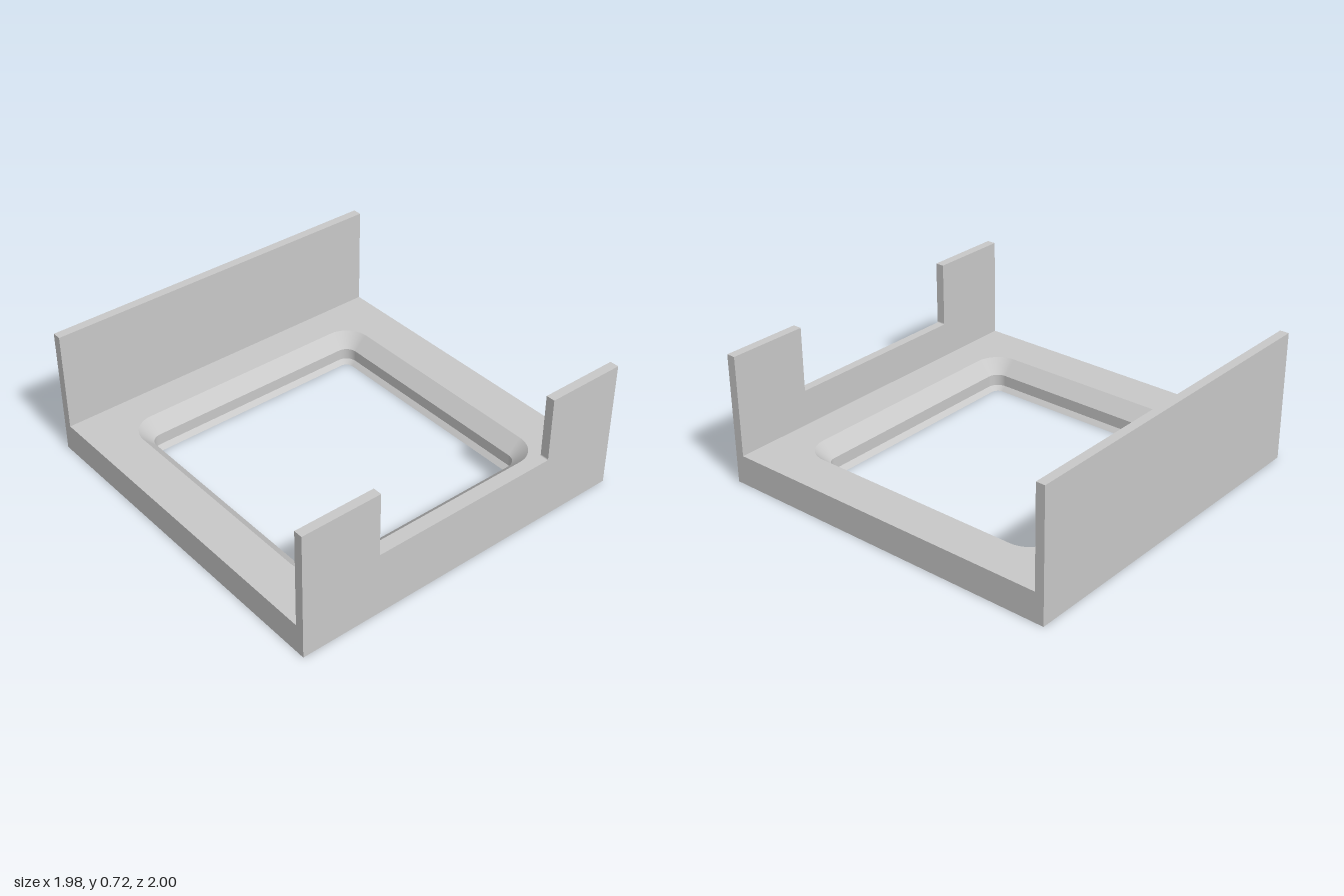
import * as THREE from 'three';

const W = 0.99, D = 1, WALL = 0.05, H = 0.722, BASE = 0.165;
const NOTCH = 0.543, NOTCH_Y = 0.362;
const CORNER_STEPS = 10;

// Opening profile from bottom to top: half-width, corner radius, height
const RINGS = [
  { half: 0.655, r: 0.041, y: 0 },
  { half: 0.68, r: 0.066, y: 0.025 },
  { half: 0.68, r: 0.066, y: 0.089 },
  { half: 0.757, r: 0.143, y: BASE },
];

// Rounded square outline, each point with its outward angle
function roundedSquare({ half, r }) {
  const points = [];
  for (let c = 0; c < 4; c++) {
    const middle = (c + 0.5) * Math.PI / 2;
    const cx = Math.sign(Math.cos(middle)) * (half - r);
    const cy = Math.sign(Math.sin(middle)) * (half - r);
    for (let i = 0; i <= CORNER_STEPS; i++) {
      const angle = (c + i / CORNER_STEPS) * Math.PI / 2;
      points.push({ x: cx + r * Math.cos(angle), y: cy + r * Math.sin(angle), angle });
    }
  }
  return points;
}

// Inward-facing band between two rings
function bandGeometry(low, high) {
  const a = roundedSquare(low), b = roundedSquare(high), n = a.length;
  const dh = high.half - low.half, dy = high.y - low.y, len = Math.hypot(dh, dy);
  const position = [], normal = [], index = [];
  for (let i = 0; i < n; i++) {
    position.push(a[i].x, low.y, a[i].y, b[i].x, high.y, b[i].y);
    const nx = -Math.cos(a[i].angle) * dy / len, nz = -Math.sin(a[i].angle) * dy / len;
    normal.push(nx, dh / len, nz, nx, dh / len, nz);
    const j = (i + 1) % n;
    index.push(2 * i, 2 * j, 2 * i + 1, 2 * j, 2 * j + 1, 2 * i + 1);
  }
  const g = new THREE.BufferGeometry();
  g.setAttribute('position', new THREE.Float32BufferAttribute(position, 3));
  g.setAttribute('normal', new THREE.Float32BufferAttribute(normal, 3));
  g.setIndex(index);
  return g;
}

// Flat rectangle with the rounded opening cut out
function frameFace(ring) {
  const z = D - WALL;
  const shape = new THREE.Shape();
  shape.moveTo(-W, -z).lineTo(W, -z).lineTo(W, z).lineTo(-W, z).closePath();
  const outline = roundedSquare(ring).map(p => new THREE.Vector2(p.x, p.y));
  shape.holes.push(new THREE.Path(outline));
  return new THREE.ShapeGeometry(shape);
}

export function createModel() {
  const model = new THREE.Group();
  model.name = 'openTray';
  const grey = new THREE.MeshStandardMaterial({ color: 0xc8c8c8 });
  grey.name = 'lightGrey';

  const add = (name, geometry, parent = model) => {
    const mesh = new THREE.Mesh(geometry, grey);
    mesh.name = name;
    parent.add(mesh);
    return mesh;
  };

  // Base frame: top, underside and outer sides
  const base = new THREE.Group();
  base.name = 'baseFrame';
  model.add(base);
  add('baseTop', frameFace(RINGS[3]).rotateX(-Math.PI / 2).translate(0, BASE, 0), base);
  add('baseUnderside', frameFace(RINGS[0]).rotateX(Math.PI / 2), base);
  for (const side of [1, -1]) {
    const g = new THREE.PlaneGeometry(2 * (D - WALL), BASE);
    g.rotateY(side * Math.PI / 2).translate(side * W, BASE / 2, 0);
    add(side > 0 ? 'baseLeftSide' : 'baseRightSide', g, base);
  }

  // Stepped opening: lower chamfer, straight wall, upper chamfer
  ['lowerChamfer', 'openingWall', 'upperChamfer'].forEach((name, i) =>
    add(name, bandGeometry(RINGS[i], RINGS[i + 1]), base));

  // Back wall
  add('backWall', new THREE.BoxGeometry(2 * W, H, WALL).translate(0, H / 2, -D + WALL / 2));

  // Front wall with a wide notch
  const r = 0.008;
  const front = new THREE.Shape();
  front.moveTo(-W, 0).lineTo(W, 0).lineTo(W, H).lineTo(NOTCH, H).lineTo(NOTCH, NOTCH_Y + r);
  front.quadraticCurveTo(NOTCH, NOTCH_Y, NOTCH - r, NOTCH_Y);
  front.lineTo(-NOTCH + r, NOTCH_Y);
  front.quadraticCurveTo(-NOTCH, NOTCH_Y, -NOTCH, NOTCH_Y + r);
  front.lineTo(-NOTCH, H).lineTo(-W, H).closePath();
  const frontGeometry = new THREE.ExtrudeGeometry(front, { depth: WALL, bevelEnabled: false, curveSegments: 4 });
  add('frontWall', frontGeometry.translate(0, 0, D - WALL));

  return model;
}
